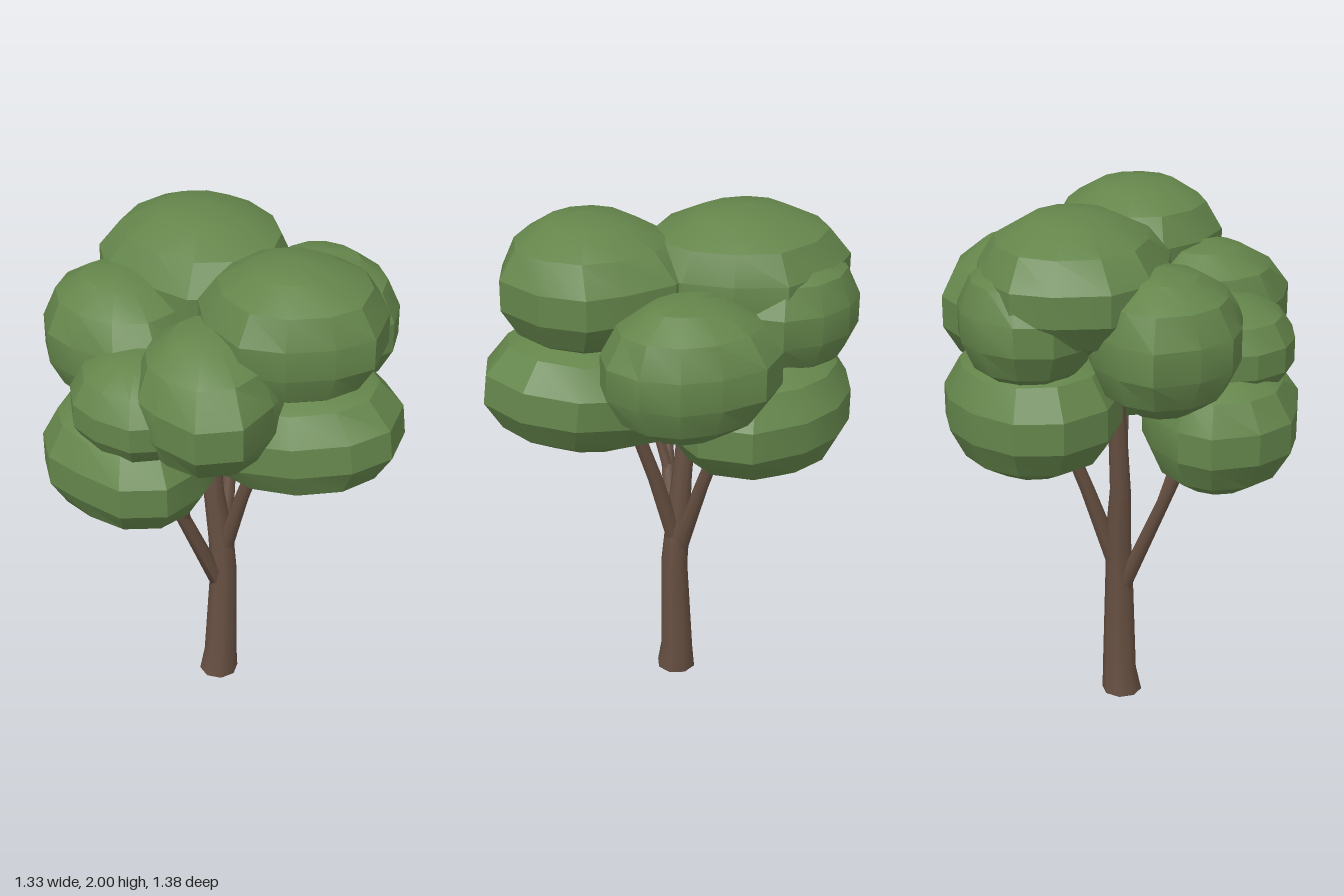
import * as THREE from 'three';
import { toCreasedNormals } from 'three/addons/utils/BufferGeometryUtils.js';

const barkBrown = new THREE.MeshStandardMaterial({ color: 0x664f41 });
const leafGreen = new THREE.MeshStandardMaterial({ color: 0x64854b });

// Tapered limb through rings given as [x, y, z, radius], capped at both ends
function limb(name, rings, sides = 8) {
  const positions = [], index = [];
  for (const [x, y, z, r] of rings) {
    for (let i = 0; i < sides; i++) {
      const a = (i / sides) * Math.PI * 2;
      positions.push(x + Math.sin(a) * r, y, z + Math.cos(a) * r);
    }
  }
  for (let k = 0; k < rings.length - 1; k++) {
    for (let i = 0; i < sides; i++) {
      const a = k * sides + i, b = k * sides + (i + 1) % sides;
      index.push(a, b, b + sides, a, b + sides, a + sides);
    }
  }
  const top = (rings.length - 1) * sides;
  for (let i = 1; i < sides - 1; i++) {
    index.push(0, i + 1, i, top, top + i, top + i + 1);
  }
  const geometry = new THREE.BufferGeometry();
  geometry.setAttribute('position', new THREE.Float32BufferAttribute(positions, 3));
  geometry.setIndex(index);
  const mesh = new THREE.Mesh(toCreasedNormals(geometry, 1.2), barkBrown);
  mesh.name = name;
  return mesh;
}

// Flattened leaf clump: skew lengthens it along the +x -z diagonal,
// push shifts its diagonal corners by [x, z], pitch tips it about x
function clump(name, center, radii, skew, push = [0, 0], pitch = 0) {
  const geometry = new THREE.SphereGeometry(1, 12, 7);
  const p = geometry.attributes.position;
  const power = 2.1;
  for (let i = 0; i < p.count; i++) {
    const v = [p.getX(i), p.getY(i), p.getZ(i)];
    const norm = v.reduce((sum, c) => sum + Math.abs(c) ** power, 0) ** (1 / power);
    const side = (1.025 - 2 * skew * v[0] * v[2]) / norm;
    const corner = 5 * (v[0] * v[2]) ** 2;
    p.setXYZ(i,
      v[0] * side * radii[0] + corner * push[0],
      (v[1] / norm) * radii[1],
      v[2] * side * radii[2] + corner * push[1]);
  }
  const mesh = new THREE.Mesh(toCreasedNormals(geometry, 0.45), leafGreen);
  mesh.name = name;
  mesh.position.set(...center);
  mesh.rotation.x = pitch;
  return mesh;
}

export function createModel() {
  const tree = new THREE.Group();
  tree.name = 'tree';

  // Trunk with flared foot, carried on as the central branch
  const wood = new THREE.Group();
  wood.name = 'wood';
  wood.add(
    limb('trunk', [
      [-0.015, 0, -0.08, 0.078], [-0.005, 0.1, -0.078, 0.066], [-0.002, 0.5, -0.063, 0.054],
      [0, 0.66, -0.075, 0.05], [-0.012, 0.88, -0.1, 0.04], [0, 1.3, -0.135, 0.032],
    ]),
    limb('leftBranch', [[-0.005, 0.42, -0.07, 0.036], [-0.2, 0.9, -0.13, 0.028], [-0.3, 1.15, -0.17, 0.024]], 6),
    limb('leftTwig', [[-0.17, 0.83, -0.12, 0.025], [-0.22, 1.0, -0.09, 0.02], [-0.25, 1.15, -0.07, 0.017]], 6),
    limb('rightBranch', [[0.01, 0.56, -0.075, 0.038], [0.11, 0.88, -0.12, 0.029], [0.22, 1.2, -0.17, 0.024]], 6),
    limb('frontBranch', [[0.005, 0.62, -0.06, 0.036], [0.005, 0.9, 0.025, 0.03], [0.01, 1.22, 0.14, 0.026]], 6),
  );
  tree.add(wood);

  // Crown of overlapping clumps: name, center, radii, skew, push, pitch
  const crown = new THREE.Group();
  crown.name = 'crown';
  [
    ['lowerFrontClump', [-0.015, 1.36, 0.265], [0.33, 0.245, 0.425], 0, [0.02, -0.015], -0.12],
    ['upperFrontClump', [-0.025, 1.75, 0.275], [0.32, 0.25, 0.335], 0, [0.03, -0.03]],
    ['topClump', [0.14, 1.75, -0.255], [0.335, 0.25, 0.385], 0.04, [-0.03, -0.02]],
    ['rightFrontClump', [0.415, 1.55, 0.1], [0.25, 0.26, 0.31], 0.06, [0.01, -0.01]],
    ['lowerRightClump', [0.285, 1.285, -0.265], [0.325, 0.26, 0.365], -0.1, [0.01, 0.01]],
    ['leftFrontClump', [-0.3, 1.54, 0.11], [0.29, 0.27, 0.28], 0.1, [-0.03, 0.03]],
    ['lowerLeftClump', [-0.385, 1.225, -0.195], [0.28, 0.255, 0.335], 0.03, [-0.03, 0.02]],
    ['leftClump', [-0.395, 1.48, -0.12], [0.25, 0.2, 0.26], 0.03, [-0.01, 0.01]],
    ['backLeftClump', [-0.2, 1.58, -0.375], [0.27, 0.26, 0.31], 0.03, [-0.02, 0.03]],
    ['backRightClump', [0.275, 1.64, -0.37], [0.25, 0.24, 0.275], -0.06],
  ].forEach((spec) => crown.add(clump(...spec)));
  tree.add(crown);

  return tree;
}
